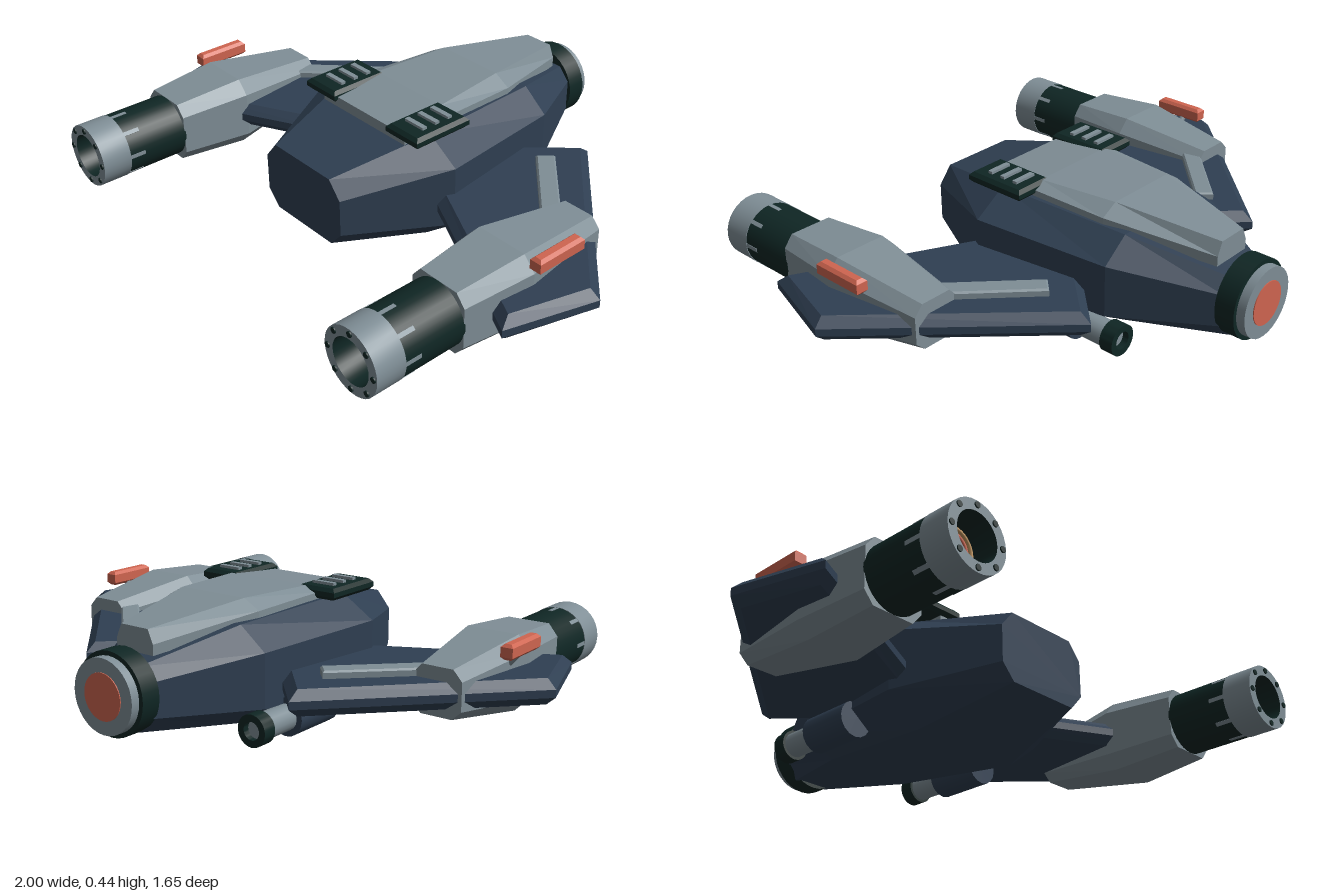
import * as THREE from 'three';
import { toCreasedNormals } from 'three/addons/utils/BufferGeometryUtils.js';

const paint = (name, color, extra = {}) => {
  const m = new THREE.MeshStandardMaterial({ color, ...extra });
  m.name = name;
  return m;
};

// Joins cross-sections (counter-clockwise seen from +z, ordered by rising z) into a faceted solid.
function loft(sections) {
  const pos = [];
  const tri = (a, b, c) => pos.push(...a, ...b, ...c);
  const n = sections[0].length;
  for (let s = 0; s < sections.length - 1; s++) {
    for (let i = 0; i < n; i++) {
      const j = (i + 1) % n, p = sections[s], q = sections[s + 1];
      tri(p[i], p[j], q[j]);
      tri(p[i], q[j], q[i]);
    }
  }
  const back = sections[0], front = sections[sections.length - 1];
  for (let i = 1; i < n - 1; i++) {
    tri(back[0], back[i + 1], back[i]);
    tri(front[0], front[i], front[i + 1]);
  }
  const g = new THREE.BufferGeometry();
  g.setAttribute('position', new THREE.Float32BufferAttribute(pos, 3));
  g.computeVertexNormals();
  return g;
}

// Octagon section: half width, bottom, top, half widths of the flats, heights of the side edges
const octagon = (z, w, y0, y1, flatBottom, flatTop, low, high) => [
  [w, low, z], [w, high, z], [flatTop, y1, z], [-flatTop, y1, z],
  [-w, high, z], [-w, low, z], [-flatBottom, y0, z], [flatBottom, y0, z],
];

// Flat plate in the xz plane with chamfered rim, centred on y = 0
function plate(points, height, bevel, chamfer = bevel) {
  const shape = new THREE.Shape(points.map(([x, z]) => new THREE.Vector2(x, z)));
  const depth = height - 2 * chamfer;
  const g = new THREE.ExtrudeGeometry(shape, {
    depth, bevelEnabled: true, bevelSize: bevel, bevelOffset: -bevel,
    bevelThickness: chamfer, bevelSegments: 1,
  });
  return g.rotateX(Math.PI / 2).translate(0, depth / 2, 0);
}
const chamferBox = (w, h, d, b) =>
  plate([[-w / 2, -d / 2], [w / 2, -d / 2], [w / 2, d / 2], [-w / 2, d / 2]], h, b);

// Cylinder along z between two z values
const tube = (r, z0, z1, seg = 32) =>
  new THREE.CylinderGeometry(r, r, z1 - z0, seg).rotateX(Math.PI / 2).translate(0, 0, (z0 + z1) / 2);

// Turned profile [radius, z] around the z axis
const turned = (profile) => toCreasedNormals(
  new THREE.LatheGeometry(profile.map(([r, z]) => new THREE.Vector2(r, z)), 32).rotateX(Math.PI / 2), 0.6);

export function createModel() {
  const blue = paint('hull blue', 0x2f3f52);
  const grey = paint('armour grey', 0x7f8e96);
  const dark = paint('dark green metal', 0x0f2624);
  const orange = paint('orange', 0xcf6550);
  const tan = paint('glow tan', 0xc89a62);

  const model = new THREE.Group();
  model.name = 'spacecraft';
  const add = (parent, name, geo, mat, x = 0, y = 0, z = 0) => {
    const mesh = new THREE.Mesh(geo, mat);
    mesh.name = name;
    mesh.position.set(x, y, z);
    parent.add(mesh);
    return mesh;
  };

  // Central hull
  add(model, 'hull', loft([
    octagon(-0.74, 0.11, 0.09, 0.295, 0.07, 0.07, 0.14, 0.25),
    octagon(-0.41, 0.285, 0.05, 0.375, 0.17, 0.19, 0.12, 0.3),
    octagon(0.08, 0.35, 0.0, 0.392, 0.22, 0.23, 0.1, 0.315),
    octagon(0.43, 0.19, 0.08, 0.325, 0.14, 0.14, 0.135, 0.265),
  ]), blue);

  // Raised armour along the spine: z, bottom half width, top half width, bottom, top
  const spine = [
    [-0.68, 0.075, 0.055, 0.315, 0.395],
    [-0.32, 0.19, 0.13, 0.365, 0.434],
    [-0.03, 0.205, 0.16, 0.375, 0.428],
    [0.17, 0.205, 0.16, 0.36, 0.412],
  ];
  add(model, 'spineArmour', loft(spine.map(([z, b, t, y0, y1]) =>
    [[b, y0, z], [b, y0 + 0.035, z], [t, y1, z], [-t, y1, z], [-b, y0 + 0.035, z], [-b, y0, z]])), grey);

  // Tail collar and port
  add(model, 'tailCollar', tube(0.135, -0.79, -0.72), dark, 0, 0.208);
  add(model, 'tailPort', tube(0.12, -0.82, -0.78), grey, 0, 0.208);
  add(model, 'tailLight', tube(0.075, -0.823, -0.815), orange, 0, 0.208);

  for (const side of [1, -1]) {
    const half = new THREE.Group();
    half.name = side > 0 ? 'leftSide' : 'rightSide';
    model.add(half);

    // Wing and its grey strip
    const outline = [[0.2, -0.23], [0.3, -0.34], [0.43, -0.48], [0.998, 0.12], [0.905, 0.43], [0.2, 0.07]];
    add(half, 'wing', plate(outline.map(([x, z]) => [x * side, z]), 0.086, 0.03), blue, 0, 0.178);
    const strip = [[0.43, -0.31], [0.385, -0.262], [0.63, -0.02], [0.675, -0.068]];
    add(half, 'wingStrip', plate(strip.map(([x, z]) => [x * side, z]), 0.034, 0.006), grey, 0, 0.229);

    // Roof vent with three slats
    add(half, 'roofVent', chamferBox(0.15, 0.04, 0.23, 0.012), dark, side * 0.206, 0.411, 0.07);
    for (const z of [0.01, 0.065, 0.12]) {
      add(half, 'ventSlat', new THREE.BoxGeometry(0.085, 0.014, 0.018), grey, side * 0.203, 0.433, z);
    }

    // Belly gun
    const gun = new THREE.Group();
    gun.name = 'bellyGun';
    gun.position.set(side * 0.303, 0.078, 0);
    half.add(gun);
    add(gun, 'gunBody', tube(0.064, -0.33, -0.13, 16), blue);
    add(gun, 'gunBarrel', tube(0.044, -0.46, -0.32, 16), grey);
    add(gun, 'gunMuzzle', turned([[0.03, -0.47], [0.03, -0.5], [0.053, -0.5], [0.053, -0.45], [0.03, -0.45]]), dark);
    add(gun, 'gunBore', tube(0.031, -0.478, -0.455, 16), grey);

    // Engine nacelle
    const engine = new THREE.Group();
    engine.name = 'engine';
    engine.position.set(side * 0.711, 0.18, 0);
    half.add(engine);
    add(engine, 'nacelle', loft([
      octagon(-0.105, 0.087, -0.075, 0.085, 0.055, 0.055, -0.045, 0.05),
      octagon(0.24, 0.135, -0.128, 0.128, 0.092, 0.092, -0.08, 0.08),
      octagon(0.495, 0.108, -0.11, 0.11, 0.075, 0.075, -0.07, 0.07),
    ]), grey);
    add(engine, 'engineBarrel', tube(0.11, 0.49, 0.725), dark);

    // Nozzle with recessed rings
    add(engine, 'nozzleRing', turned([[0.1, 0.715], [0.112, 0.715], [0.112, 0.82], [0.077, 0.82]]), grey);
    add(engine, 'nozzleLiner', turned([[0.077, 0.82], [0.074, 0.725]]), dark);
    add(engine, 'outerGlowRing', new THREE.TorusGeometry(0.064, 0.006, 8, 32), tan, 0, 0, 0.735);
    add(engine, 'orangeRing', new THREE.TorusGeometry(0.049, 0.007, 8, 32), orange, 0, 0, 0.73);
    add(engine, 'innerGlowRing', new THREE.TorusGeometry(0.036, 0.004, 8, 32), tan, 0, 0, 0.728);
    add(engine, 'nozzleCore', tube(0.025, 0.72, 0.735, 24), orange);

    // Bolts around the rim and clips along the barrel
    for (let i = 0; i < 8; i++) {
      const a = i * Math.PI / 4;
      add(engine, 'rimBolt', tube(0.01, 0.815, 0.824, 10), dark, 0.097 * Math.cos(a), 0.097 * Math.sin(a));
      const clip = add(engine, 'barrelClip', new THREE.BoxGeometry(0.008, 0.014, 0.065), grey,
        0.107 * Math.cos(a), 0.107 * Math.sin(a), 0.69);
      clip.rotation.z = a;
    }

    // Orange side pod on a short strut
    add(half, 'sidePod', chamferBox(0.042, 0.052, 0.19, 0.01), orange, side * 0.855, 0.296, 0.155);
    const strut = add(half, 'podStrut', new THREE.CylinderGeometry(0.012, 0.012, 0.08, 8), grey,
      side * 0.835, 0.255, 0.14);
    strut.rotation.z = -side * 0.7;
  }
  return model;
}
